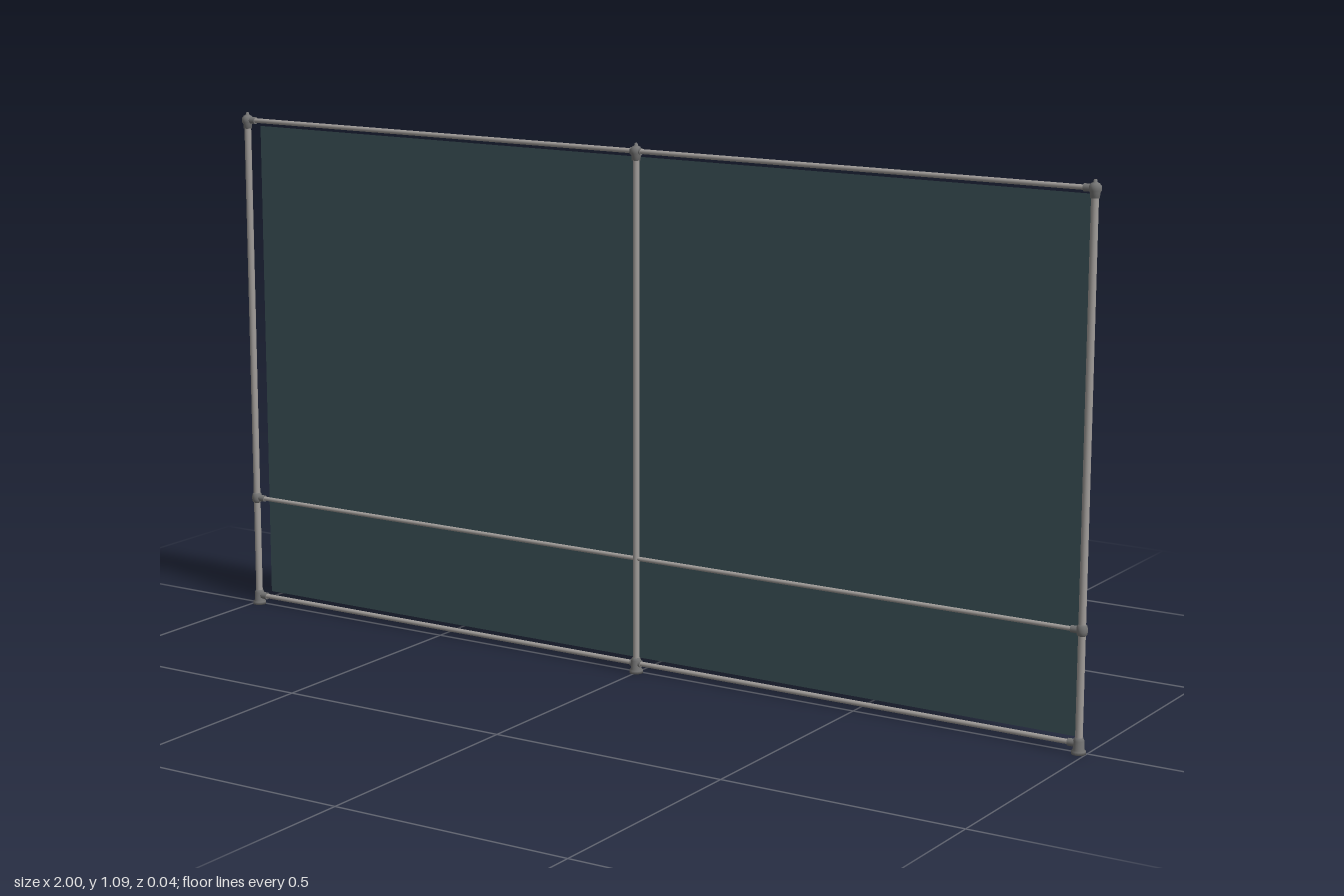
import * as THREE from 'three';

const PIPE_Z = 0.008;   // centre plane of the pipe frame
const PANEL_Z = -0.021; // infill sheet hangs behind the frame
const POST_X = 0.986;
const TOP_Y = 1.068, MID_Y = 0.24, LOW_Y = 0.02;

export function createModel() {
  const root = new THREE.Group();
  const pipe = new THREE.MeshStandardMaterial({ color: 0xa19d9a });
  pipe.name = 'galvanised pipe';
  const metal = new THREE.MeshStandardMaterial({ color: 0x747474 });
  metal.name = 'cast fitting';
  const sheet = new THREE.MeshStandardMaterial({ color: 0x3a5157, side: THREE.DoubleSide });
  sheet.name = 'dark teal sheet';

  const add = (parent, name, geometry, material, x, y, z) => {
    const mesh = new THREE.Mesh(geometry, material);
    mesh.name = name;
    mesh.position.set(x, y, z);
    parent.add(mesh);
    return mesh;
  };
  const rod = (r, length) => new THREE.CylinderGeometry(r, r, length, 16);
  const rodX = (r, length) => rod(r, length).rotateZ(Math.PI / 2);
  const lathe = (pts) => new THREE.LatheGeometry(pts.map(([r, y]) => new THREE.Vector2(r, y)), 16);

  // Infill sheet
  add(root, 'panel', new THREE.PlaneGeometry(1.95, 1.03), sheet, 0, 0.538, PANEL_Z);

  // Horizontal rails
  for (const [name, y, r] of [['topRail', TOP_Y, 0.005], ['middleRail', MID_Y, 0.0045], ['bottomRail', LOW_Y, 0.005]]) {
    add(root, name, rodX(r, POST_X * 2), pipe, 0, y, PIPE_Z);
  }

  // Flared foot and rounded cap with a small finial
  const footShape = lathe([[0, 0], [0.014, 0], [0.014, 0.006], [0.011, 0.009], [0.0105, 0.026], [0.008, 0.032], [0.006, 0.032]]);
  const capShape = lathe([[0.006, -0.018], [0.009, -0.018], [0.0095, -0.009], [0.012, -0.004], [0.012, 0.004],
    [0.008, 0.009], [0.004, 0.011], [0.003, 0.016], [0, 0.017]]);

  for (const [label, x] of [['right', -POST_X], ['centre', 0], ['left', POST_X]]) {
    const post = new THREE.Group();
    post.name = label + 'Post';
    post.position.set(x, 0, PIPE_Z);
    root.add(post);
    add(post, 'upright', rod(x ? 0.0072 : 0.0065, 1.06), pipe, 0, 0.535, 0);
    add(post, 'foot', footShape, metal, 0, 0, 0);
    add(post, 'cap', capShape, metal, 0, TOP_Y, 0);

    // Rail sockets: on the inner side of end posts, on both sides at the centre
    for (const side of x ? [-Math.sign(x)] : [-1, 1]) {
      const reach = x ? 0.022 : 0.012;
      for (const y of [TOP_Y, LOW_Y]) {
        add(post, 'railSocket', rodX(0.0075, reach), metal, side * reach / 2, y, 0);
      }
      if (x) add(post, 'middleSocket', rodX(0.007, reach), metal, side * reach / 2, MID_Y, 0);
    }
    // Collar where the middle rail meets an end post
    if (x) add(post, 'collar', lathe([[0.007, -0.011], [0.0095, -0.009], [0.011, -0.003], [0.011, 0.003], [0.0095, 0.009], [0.007, 0.011]]), metal, 0, MID_Y, 0);
  }
  return root;
}
